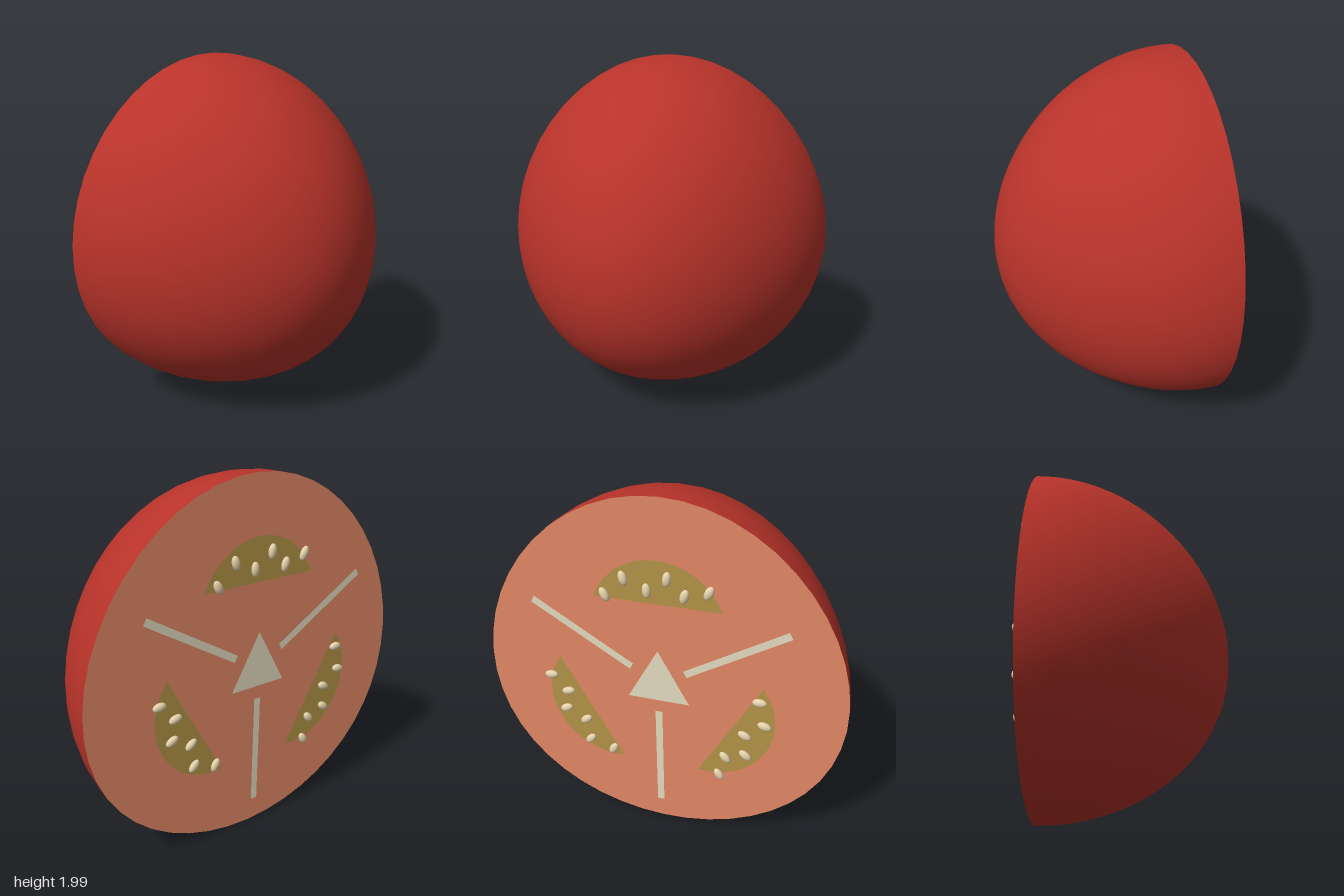
import * as THREE from 'three';
import { mergeVertices } from 'three/addons/utils/BufferGeometryUtils.js';

const mat = (name, color, side = THREE.FrontSide) => {
  const m = new THREE.MeshStandardMaterial({ color, side });
  m.name = name;
  return m;
};

// Maps a unit half ball (pole on +x) to the egg-like fruit half
function shapeFruit(geometry) {
  const p = geometry.attributes.position;
  for (let i = 0; i < p.count; i++) {
    const u = p.getX(i), v = p.getY(i), w = p.getZ(i);
    p.setXYZ(i,
      -0.5 + 1.07 * u,
      1.003 + 0.997 * v - 0.08 * u * u,
      0.966 * w * (1 - 0.08 * v) * (1 - 0.14 * u * u));
  }
  return geometry;
}

export function createModel() {
  const model = new THREE.Group();
  model.name = 'halvedFruit';

  const skinMat = mat('red skin', 0xb8332a);
  const fleshMat = mat('salmon flesh', 0xe58a68);
  const pulpMat = mat('olive pulp', 0xb59648, THREE.DoubleSide);
  const coreMat = mat('pale core', 0xe6dfc2, THREE.DoubleSide);
  const seedMat = mat('cream seed', 0xe8d5ae);

  const add = (parent, name, geometry, material) => {
    const mesh = new THREE.Mesh(geometry, material);
    mesh.name = name;
    parent.add(mesh);
    return mesh;
  };

  // Rounded outer skin
  let skin = new THREE.SphereGeometry(1, 48, 28, 0, Math.PI * 2, 0, Math.PI / 2);
  skin.rotateZ(-Math.PI / 2);
  skin.deleteAttribute('uv');
  skin.deleteAttribute('normal');
  skin = mergeVertices(shapeFruit(skin), 1e-4);
  skin.computeVertexNormals();
  add(model, 'skin', skin, skinMat);

  // Flat cut face, looking towards -x
  const face = new THREE.CircleGeometry(1, 48);
  face.rotateY(-Math.PI / 2);
  shapeFruit(face).computeVertexNormals();
  add(model, 'cutFace', face, fleshMat);

  // Inside details are drawn in a local XY plane that faces -x,
  // slightly narrowed to follow the oval of the cut face
  const inside = new THREE.Group();
  inside.name = 'inside';
  inside.position.set(0, 1, 0);
  inside.rotation.y = -Math.PI / 2;
  inside.scale.set(0.95, 1.02, 1);
  model.add(inside);

  // Triangular core
  const core = add(inside, 'core', new THREE.CircleGeometry(0.2, 3, Math.PI / 2), coreMat);
  core.position.z = 0.55;

  // Domed seed chamber outline
  const chamber = new THREE.Shape();
  chamber.moveTo(-0.345, 0.46);
  chamber.lineTo(0.345, 0.46);
  chamber.bezierCurveTo(0.21, 0.765, -0.21, 0.765, -0.345, 0.46);
  const chamberGeo = new THREE.ShapeGeometry(chamber, 20);

  const wallGeo = new THREE.PlaneGeometry(0.04, 0.625);
  const seedGeo = new THREE.SphereGeometry(1, 14, 10);
  const seedSpots = [[-0.275, 0.485], [-0.17, 0.585], [-0.047, 0.535],
    [0.06, 0.608], [0.15, 0.53], [0.275, 0.565]];

  // Three equal sectors: chamber, seeds and dividing wall
  for (let k = 0; k < 3; k++) {
    const sector = new THREE.Group();
    sector.name = 'sector' + (k + 1);
    sector.rotation.z = -k * Math.PI * 2 / 3;
    inside.add(sector);

    add(sector, 'seedChamber', chamberGeo, pulpMat).position.z = 0.54;

    const spoke = new THREE.Group();
    spoke.name = 'wallHolder';
    spoke.rotation.z = Math.PI / 3;
    sector.add(spoke);
    add(spoke, 'wall', wallGeo, coreMat).position.set(0, 0.485, 0.55);

    for (const [x, y] of seedSpots) {
      const seed = add(sector, 'seed', seedGeo, seedMat);
      seed.position.set(x, y, 0.557);
      seed.scale.set(0.023, 0.039, 0.017);
      seed.rotation.z = -Math.atan2(x, y);
    }
  }
  return model;
}
